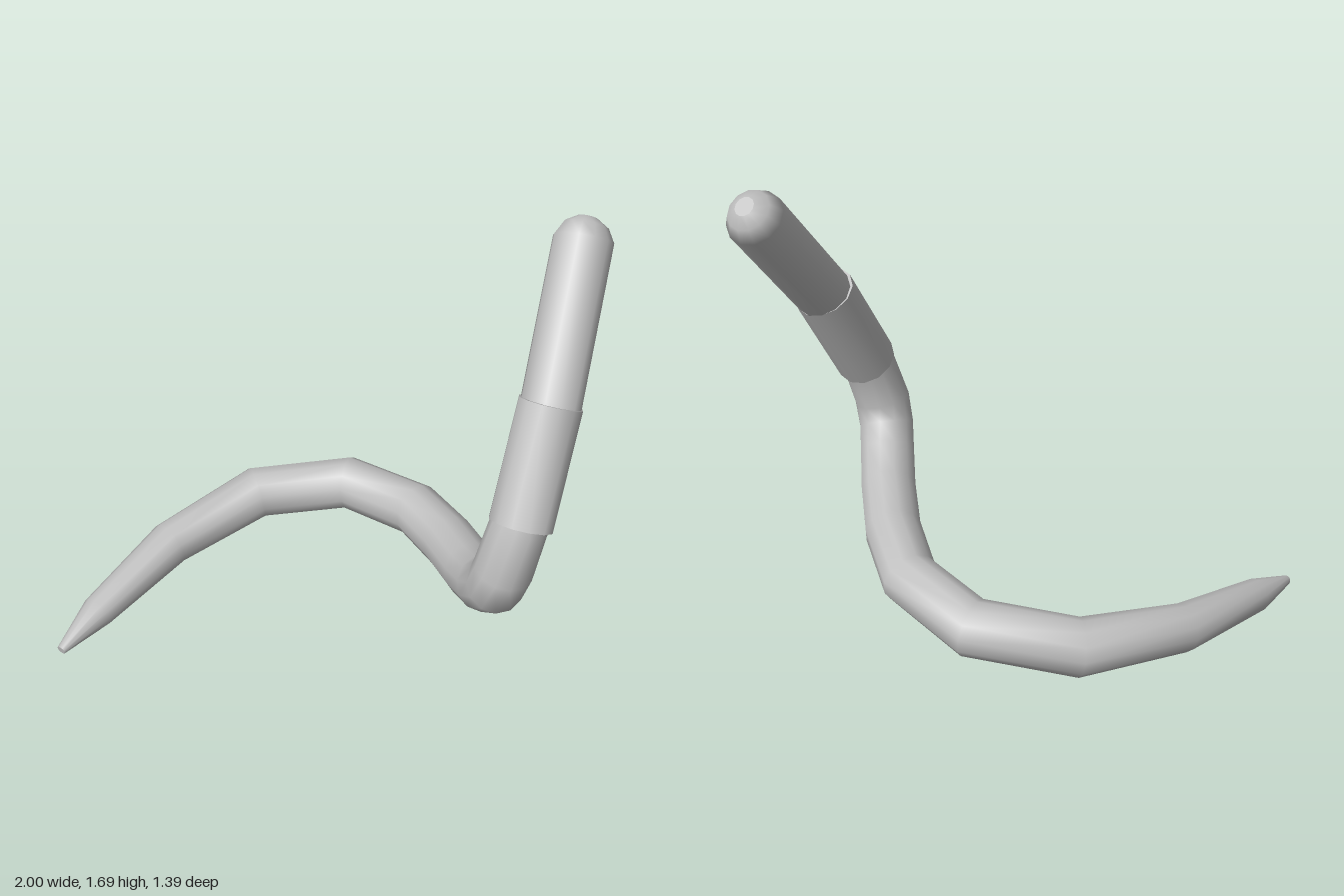
import * as THREE from 'three';

const SIDES = 12;

// Sweeps a round section through stations [x, y, z, radius], with flat end caps.
function sweep(stations) {
  const pts = stations.map(([x, y, z]) => new THREE.Vector3(x, y, z));
  const last = pts.length - 1;
  const pos = [], index = [];
  let normal = new THREE.Vector3(0, 1, 0);
  pts.forEach((p, s) => {
    const t = new THREE.Vector3();
    if (s > 0) t.add(p.clone().sub(pts[s - 1]).normalize());
    if (s < last) t.add(pts[s + 1].clone().sub(p).normalize());
    t.normalize();
    normal = normal.clone().addScaledVector(t, -normal.dot(t)).normalize();
    const side = t.clone().cross(normal);
    for (let i = 0; i < SIDES; i++) {
      const a = (i / SIDES) * Math.PI * 2;
      const v = p.clone()
        .addScaledVector(normal, Math.cos(a) * stations[s][3])
        .addScaledVector(side, Math.sin(a) * stations[s][3]);
      pos.push(v.x, v.y, v.z);
    }
  });
  for (let s = 0; s < last; s++) {
    for (let i = 0; i < SIDES; i++) {
      const a = s * SIDES + i, b = s * SIDES + (i + 1) % SIDES;
      index.push(a, b, a + SIDES, b, b + SIDES, a + SIDES);
    }
  }
  // End caps get their own vertices so that the rims stay sharp
  for (const s of [0, last]) {
    const base = pos.length / 3;
    pos.push(...pos.slice(s * SIDES * 3, (s + 1) * SIDES * 3));
    pos.push(pts[s].x, pts[s].y, pts[s].z);
    for (let i = 0; i < SIDES; i++) {
      const a = base + i, b = base + (i + 1) % SIDES, c = base + SIDES;
      if (s === 0) index.push(c, b, a);
      else index.push(c, a, b);
    }
  }
  const geo = new THREE.BufferGeometry();
  geo.setAttribute('position', new THREE.Float32BufferAttribute(pos, 3));
  geo.setIndex(index);
  geo.computeVertexNormals();
  return geo;
}

export function createModel() {
  const group = new THREE.Group();
  const grey = new THREE.MeshStandardMaterial({ color: 0xc0c0c0 });
  grey.name = 'light grey';

  const add = (name, stations) => {
    const mesh = new THREE.Mesh(sweep(stations), grey);
    mesh.name = name;
    group.add(mesh);
  };

  // Curling lower body, from the tapered tail tip up into the collar
  add('tail', [
    [-0.99, 0.025, -0.16, 0.018],
    [-0.815, 0.065, -0.275, 0.065],
    [-0.455, 0.135, -0.485, 0.09],
    [-0.045, 0.203, -0.59, 0.106],
    [0.31, 0.25, -0.46, 0.107],
    [0.485, 0.28, -0.17, 0.106],
    [0.507, 0.315, 0.09, 0.107],
    [0.492, 0.362, 0.31, 0.107],
    [0.472, 0.43, 0.46, 0.107],
    [0.46, 0.51, 0.555, 0.107],
    [0.468, 0.61, 0.588, 0.107],
    [0.515, 0.785, 0.582, 0.102],
    [0.56, 0.88, 0.545, 0.098],
  ]);

  // Slightly wider straight collar
  add('collar', [
    [0.522, 0.79, 0.582, 0.115],
    [0.675, 1.168, 0.437, 0.113],
  ]);

  // Straight neck with a chamfered blunt end
  add('neck', [
    [0.625, 1.06, 0.49, 0.1],
    [0.675, 1.16, 0.437, 0.106],
    [0.903, 1.6, 0.152, 0.105],
    [0.922, 1.638, 0.128, 0.078],
    [0.934, 1.658, 0.115, 0.036],
  ]);

  return group;
}
